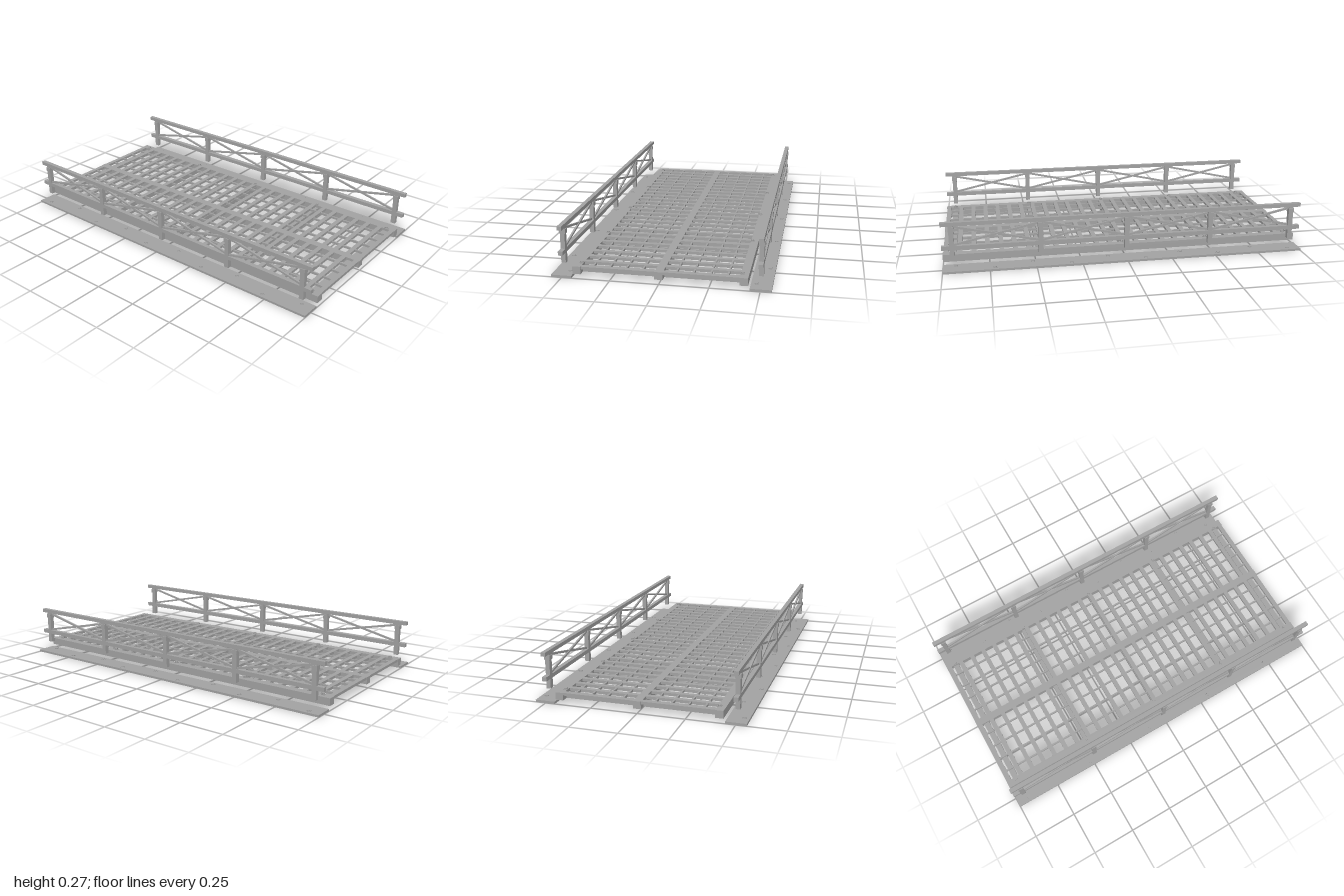
import * as THREE from 'three';

export function createModel() {
  const root = new THREE.Group();
  root.name = 'footbridge';
  const steel = new THREE.MeshStandardMaterial({ color: 0xa3a3a3 });
  steel.name = 'grey steel';

  const group = (name) => {
    const g = new THREE.Group();
    g.name = name;
    root.add(g);
    return g;
  };
  const add = (parent, name, geo, x, y, z) => {
    const m = new THREE.Mesh(geo, steel);
    m.name = name;
    m.position.set(x, y, z);
    parent.add(m);
    return m;
  };
  // Box given by its limits on each axis
  const box = (parent, name, x0, x1, y0, y1, z0, z1) =>
    add(parent, name, new THREE.BoxGeometry(x1 - x0, y1 - y0, z1 - z0),
      (x0 + x1) / 2, (y0 + y1) / 2, (z0 + z1) / 2);

  const stations = [-0.945, -0.473, 0, 0.473, 0.945];
  const bottom = 0.025, seat = 0.05, top = 0.065;

  // Deck frame: three long beams and five cross beams
  const frame = group('deckFrame');
  for (const s of [-1, 1]) {
    box(frame, 'sideBeam', s * 0.42 - 0.021, s * 0.42 + 0.021, bottom, top, -1, 1);
  }
  box(frame, 'centreBeam', -0.021, 0.021, bottom, top, -1, 1);
  for (const z of stations) {
    box(frame, 'crossBeam', -0.4, 0.4, bottom, seat, z - 0.016, z + 0.016);
  }

  // Grating: wide slats across, thin bars along, in two panels
  const grating = group('grating');
  const pitch = 0.0757;
  for (const s of [-1, 1]) {
    for (let k = -13; k <= 13; k++) {
      const z = k * pitch;
      add(grating, 'slat', new THREE.BoxGeometry(0.379, top - seat, 0.026),
        s * 0.2105, (top + seat) / 2, z);
    }
    for (let i = 1; i <= 4; i++) {
      add(grating, 'gratingBar', new THREE.BoxGeometry(0.009, 0.013, 1.97),
        s * 0.085 * i, 0.0567, 0);
    }
  }

  // Bolts holding the side beams
  const deckBolts = group('deckBolts');
  for (const s of [-1, 1]) {
    for (const z of stations) {
      add(deckBolts, 'washer', new THREE.CylinderGeometry(0.012, 0.012, 0.003, 16), s * 0.408, 0.0665, z);
      add(deckBolts, 'boltHead', new THREE.CylinderGeometry(0.009, 0.009, 0.007, 6), s * 0.408, 0.0715, z);
    }
  }

  // Ground plates with staggered bolts
  for (const s of [-1, 1]) {
    const plate = group(s > 0 ? 'leftGroundPlate' : 'rightGroundPlate');
    box(plate, 'plate', s * 0.502 - 0.0535, s * 0.502 + 0.0535, 0, 0.012, -1, 1);
    for (let i = 0; i < 10; i++) {
      const x = s * (0.502 + (i % 2 ? 0.026 : -0.026));
      const z = 0.93 - i * 0.2067;
      add(plate, 'plateWasher', new THREE.CylinderGeometry(0.012, 0.012, 0.002, 16), x, 0.013, z);
      add(plate, 'plateBolt', new THREE.CylinderGeometry(0.009, 0.009, 0.003, 6), x, 0.0155, z);
    }
  }

  // Railings: rails, collared posts and crossed braces
  for (const s of [-1, 1]) {
    const rail = group(s > 0 ? 'leftRailing' : 'rightRailing');
    const x = s * 0.5;
    box(rail, 'topRail', x - 0.012, x + 0.012, 0.249, 0.27, -1, 1);
    box(rail, 'middleRail', x - 0.012, x + 0.012, 0.117, 0.139, -1, 1);
    for (const z of stations) {
      box(rail, 'post', x - 0.012, x + 0.012, 0.064, 0.25, z - 0.013, z + 0.013);
      box(rail, 'postCollar', x - 0.016, x + 0.016, 0.219, 0.243, z - 0.015, z + 0.015);
    }
    for (let i = 0; i < 4; i++) {
      const dz = stations[i + 1] - stations[i] - 0.02;
      const dy = 0.1;
      for (const d of [-1, 1]) {
        const brace = add(rail, 'brace', new THREE.BoxGeometry(0.01, 0.011, Math.hypot(dz, dy)),
          x + d * 0.002, 0.193, (stations[i] + stations[i + 1]) / 2);
        brace.rotation.x = d * Math.atan2(dy, dz);
      }
    }
  }
  return root;
}
